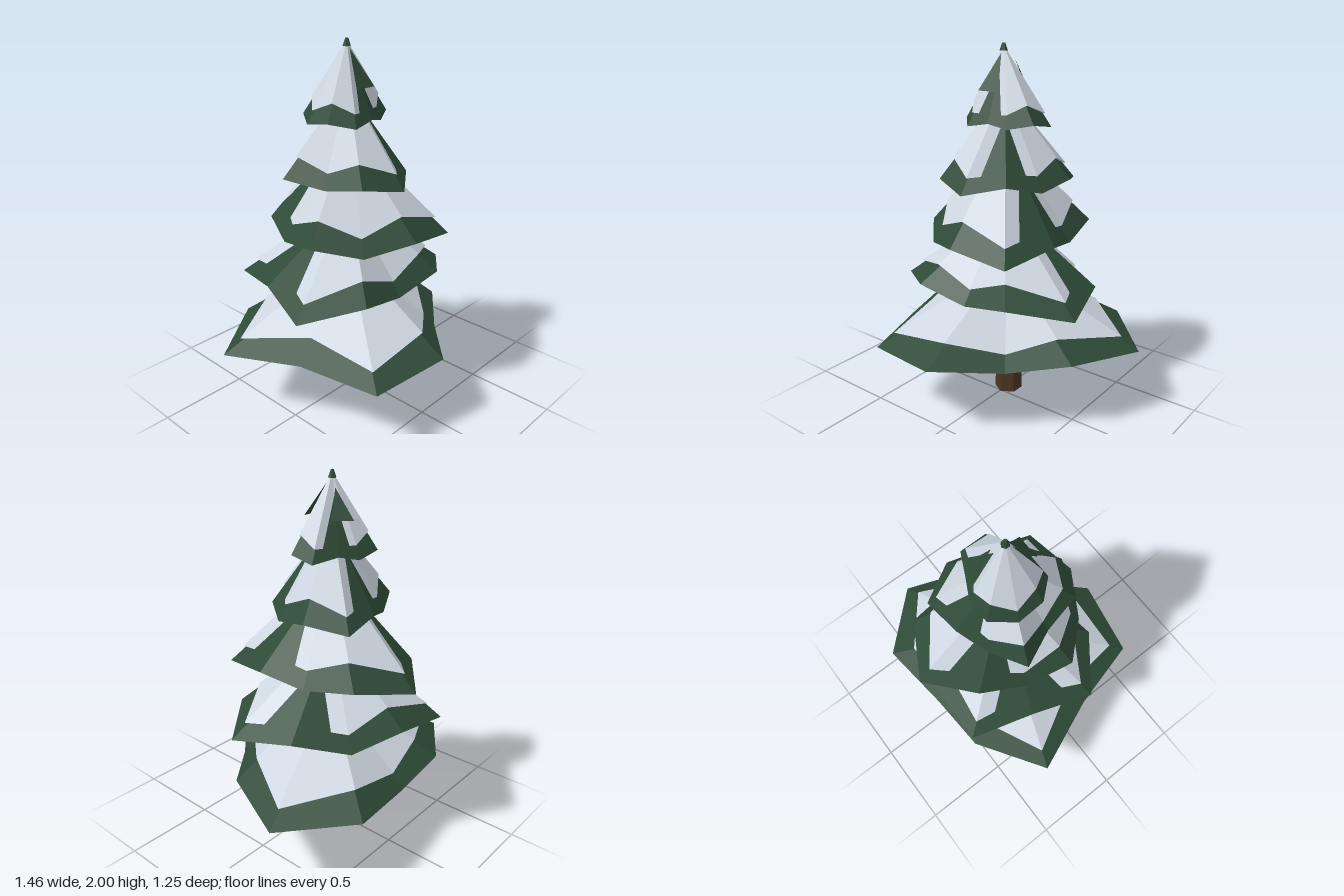
import * as THREE from 'three';

const CZ = -0.06;   // trunk axis in z
const SIDES = 10;

const green = new THREE.MeshStandardMaterial({ color: 0x2e4a37 });
green.name = 'needleGreen';
const greenFlap = green.clone();
greenFlap.side = THREE.DoubleSide;
const snow = new THREE.MeshStandardMaterial({ color: 0xcdd6e0 });
snow.name = 'snowWhite';
const bark = new THREE.MeshStandardMaterial({ color: 0x4a3422 });
bark.name = 'barkBrown';

// Rim radii run from the front, towards +x, around the back.
// Every second rim point droops; bare lists ridges that show through the snow.
const TIERS = [
  { low: 0.37, high: 0.405, odd: true, apex: 0.8, bare: [],
    r: [0.685, 0.5, 0.59, 0.768, 0.7, 0.515, 0.61, 0.772, 0.59, 0.755] },
  { low: 0.66, high: 0.72, odd: false, apex: 1.13, bare: [3, 7],
    r: [0.38, 0.5, 0.603, 0.51, 0.47, 0.5, 0.62, 0.5, 0.613, 0.5] },
  { low: 0.96, high: 1.01, odd: true, apex: 1.5, bare: [2, 6],
    r: [0.48, 0.55, 0.425, 0.36, 0.49, 0.565, 0.44, 0.39, 0.45, 0.42] },
  { low: 1.27, high: 1.31, odd: false, apex: 1.75, bare: [1, 5],
    r: [0.39, 0.31, 0.31, 0.35, 0.385, 0.29, 0.28, 0.385, 0.28, 0.375] },
  { low: 1.58, high: 1.605, odd: true, apex: 1.97, bare: [0, 4],
    r: [0.17, 0.17, 0.23, 0.24, 0.17, 0.19, 0.24, 0.238, 0.235, 0.22] },
];

function facets(triangles) {
  const geo = new THREE.BufferGeometry().setFromPoints(triangles);
  geo.computeVertexNormals();
  return geo;
}

// Closed faceted cone over an irregular rim
function coneGeometry(rim, apex) {
  const base = new THREE.Vector3();
  rim.forEach((p) => base.addScaledVector(p, 1 / rim.length));
  const tris = [];
  rim.forEach((p, i) => {
    const q = rim[(i + 1) % rim.length];
    tris.push(p, q, apex, q, p, base);
  });
  return facets(tris);
}

function add(parent, name, geo, mat) {
  const mesh = new THREE.Mesh(geo, mat);
  mesh.name = name;
  parent.add(mesh);
  return mesh;
}

export function createModel() {
  const tree = new THREE.Group();
  tree.name = 'snowyFirTree';

  // Hexagonal tapered trunk
  const trunkGeo = new THREE.CylinderGeometry(0.055, 0.08, 0.7, 6).toNonIndexed();
  trunkGeo.computeVertexNormals();
  add(tree, 'trunk', trunkGeo, bark).position.set(0.005, 0.35, -0.07);

  // Branch tiers with snow caps
  TIERS.forEach((t, k) => {
    const tier = new THREE.Group();
    tier.name = 'tier' + (k + 1);
    tree.add(tier);

    const apex = new THREE.Vector3(-0.005 * k, t.apex, CZ + 0.0025 * k);
    const droops = (i) => (i % 2 === 1) === t.odd;
    const rim = t.r.map((r, i) => {
      const a = Math.PI / 2 - (i * 2 * Math.PI) / SIDES;
      return new THREE.Vector3(r * Math.cos(a), droops(i) ? t.low : t.high, CZ + r * Math.sin(a));
    });
    add(tier, 'branches', coneGeometry(rim, apex), green);

    // Snow follows the branches, lifted a little, sunk at bare ridges
    const snowRim = rim.map((p, i) => {
      const s = apex.clone().lerp(p, droops(i) ? 0.87 : 0.79);
      s.y += t.bare.includes(i) ? -0.035 : 0.02;
      return s;
    });
    const snowApex = apex.clone();
    snowApex.y += 0.018;
    add(tier, 'snowCap', coneGeometry(snowRim, snowApex), snow);
  });

  // Green tip
  const tipGeo = new THREE.CylinderGeometry(0.008, 0.022, 0.04, 6).toNonIndexed();
  tipGeo.computeVertexNormals();
  add(tree, 'treeTip', tipGeo, green).position.set(-0.02, 1.98, -0.05);

  // Small bare twigs lying on the top snow
  const V = (x, y, z) => new THREE.Vector3(x, y, z);
  add(tree, 'frontTwig', facets([V(-0.085, 1.765, 0.08), V(0.045, 1.765, 0.08), V(-0.02, 1.95, -0.03)]), greenFlap);
  add(tree, 'backTwig', facets([V(0.08, 1.77, -0.13), V(0.0, 1.77, -0.21), V(0.015, 1.92, -0.1)]), greenFlap);

  return tree;
}
